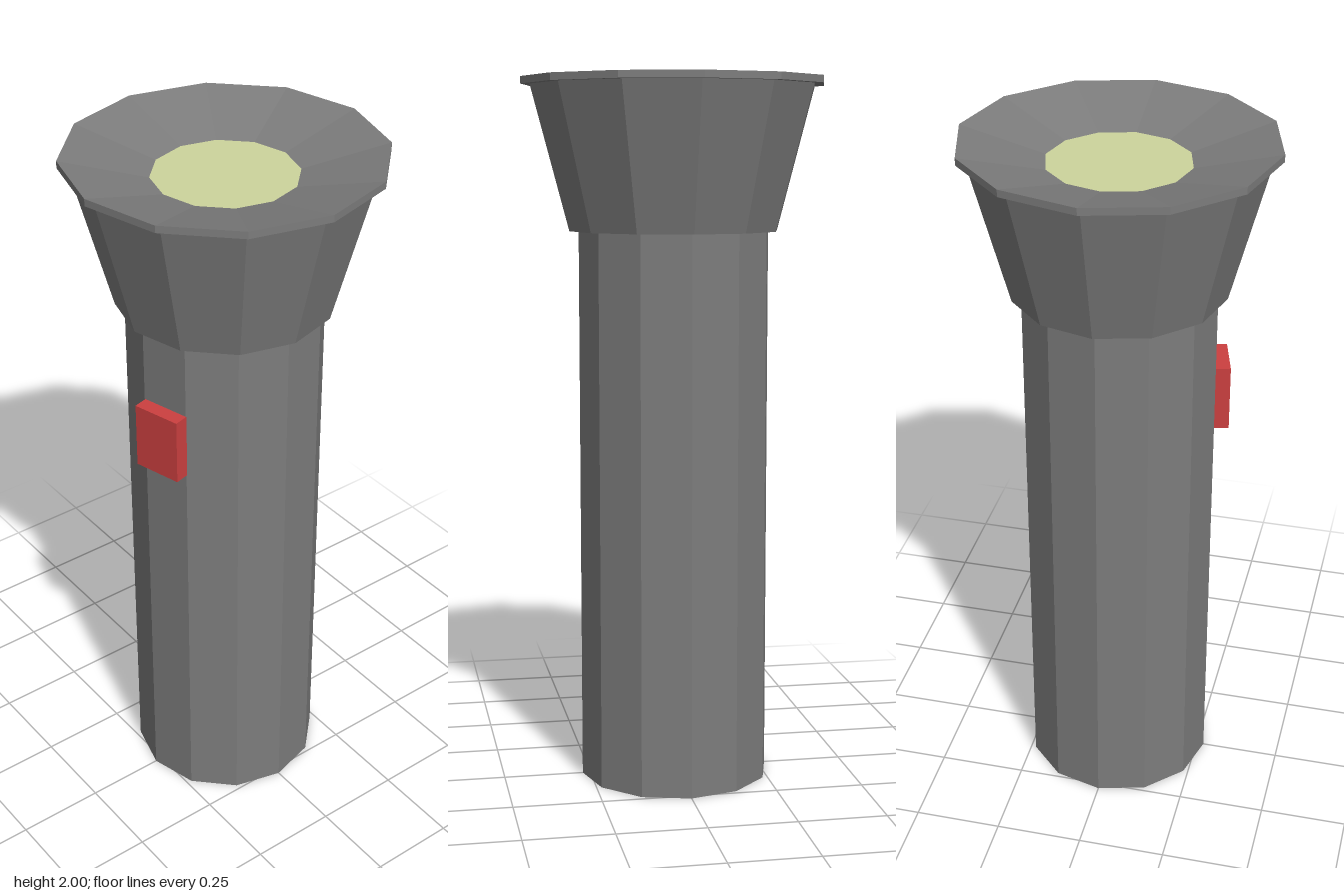
import * as THREE from 'three';

const SIDES = 12;

function material(color) {
  return new THREE.MeshStandardMaterial({ color, flatShading: true });
}

export function createModel() {
  const model = new THREE.Group();
  model.name = 'flashlight';

  const casing = material(0x7c7c7c);
  const red = material(0xcc4040);
  const glass = material(0xcdd49c);

  function add(name, geometry, mat) {
    const mesh = new THREE.Mesh(geometry, mat);
    mesh.name = name;
    model.add(mesh);
    return mesh;
  }

  // Turned part from [radius, height] pairs, listed from the bottom outside upward
  function turned(name, profile, mat) {
    const points = profile.map(([r, y]) => new THREE.Vector2(r, y));
    return add(name, new THREE.LatheGeometry(points, SIDES), mat);
  }

  // Handle with a closed base
  turned('handle', [[0, 0], [0.272, 0], [0.272, 1.575]], casing);

  // Flared head with its small step under the flare
  turned('head', [[0.272, 1.575], [0.298, 1.575], [0.405, 1.98]], casing);

  // Thin rim, and the reflector sloping in to the lens
  turned('rim', [[0.405, 1.98], [0.431, 1.98], [0.431, 2]], casing);
  turned('reflector', [[0.431, 2], [0.197, 1.94]], casing);

  // Flat lens
  const lens = add('lens', new THREE.CircleGeometry(0.197, SIDES), glass);
  lens.rotation.x = -Math.PI / 2;
  lens.position.y = 1.94;

  // Switch lying on the handle facet just left of the front edge
  const button = add('switchButton', new THREE.BoxGeometry(0.14, 0.19, 0.066), red);
  button.geometry.translate(0.002, 1.26, 0.271);
  button.rotation.y = Math.PI / SIDES;

  return model;
}
